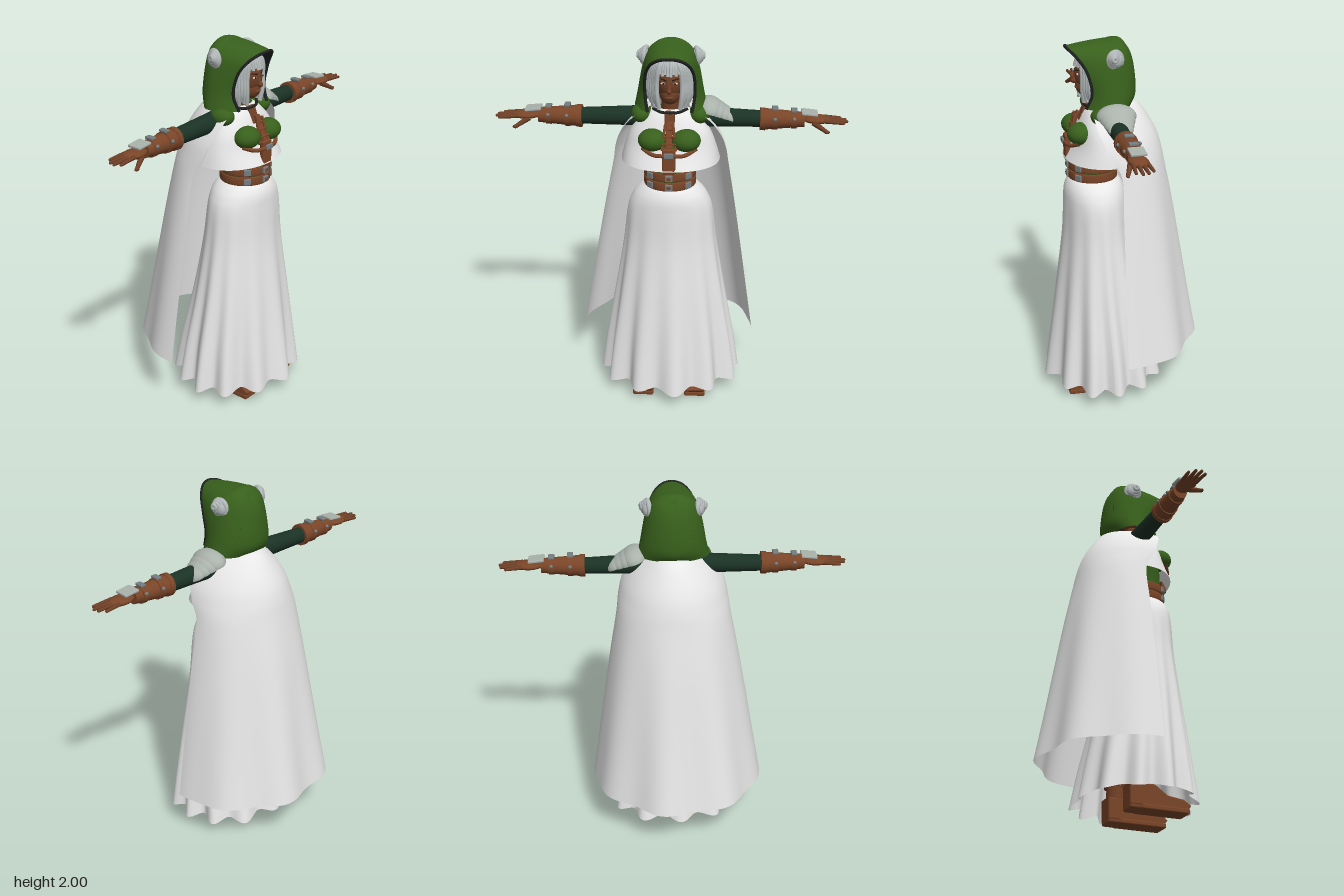
import * as THREE from 'three';
import { RoundedBoxGeometry } from 'three/addons/geometries/RoundedBoxGeometry.js';

const V = (x, y, z) => new THREE.Vector3(x, y, z);
const { sin, cos, PI } = Math;

export function createModel() {
  const model = new THREE.Group();
  const paint = (name, color) => {
    const m = new THREE.MeshStandardMaterial({ color, side: THREE.DoubleSide });
    m.name = name;
    return m;
  };
  const white = paint('white cloth', 0xf0f0f0), green = paint('green cloth', 0x38601c);
  const sleeveGreen = paint('dark green sleeve', 0x1b3226), leather = paint('brown leather', 0x7a4528);
  const skin = paint('brown skin', 0x6e3f26), hair = paint('silver hair', 0xb4babb);
  const metal = paint('pale metal', 0xaab2ac), steel = paint('buckle steel', 0x757d80);
  const dark = paint('dark trim', 0x1e2120), eyeColor = paint('pale eye', 0xd8d4c8);

  const add = (name, geo, mat, pos = [0, 0, 0], scale = [1, 1, 1], rot = [0, 0, 0]) => {
    const m = new THREE.Mesh(geo, mat);
    m.name = name;
    m.position.set(...pos);
    m.scale.set(...scale);
    m.rotation.set(...rot);
    model.add(m);
    return m;
  };
  const ball = (name, mat, pos, scale) => add(name, new THREE.SphereGeometry(1, 28, 18), mat, pos, scale);
  const box = (name, mat, pos, size, rot) => add(name,
    new RoundedBoxGeometry(...size, 2, Math.min(...size) * 0.3), mat, pos, [1, 1, 1], rot);
  const rod = (name, mat, a, b, ra, rb = ra, n = 20) => {
    const p = V(...a), d = V(...b).sub(p);
    const m = add(name, new THREE.CylinderGeometry(rb, ra, d.length(), n), mat);
    m.position.copy(p).addScaledVector(d, 0.5);
    m.quaternion.setFromUnitVectors(V(0, 1, 0), d.normalize());
    return m;
  };
  const tube = (name, mat, pts, r, n = 30) =>
    add(name, new THREE.TubeGeometry(new THREE.CatmullRomCurve3(pts.map(p => V(...p))), n, r, 8), mat);

  // Smoothly interpolate the columns of a small section table, t from 0 to 1
  const sample = (rows, t) => {
    const f = t * (rows.length - 1), i = Math.min(Math.floor(f), rows.length - 2), k = f - i;
    const row = j => rows[Math.max(0, Math.min(rows.length - 1, j))];
    return rows[i].map((b, c) => {
      const a = row(i - 1)[c], d = row(i + 1)[c], e = row(i + 2)[c];
      return b + 0.5 * k * (d - a + k * (2 * a - 5 * b + 4 * d - e + k * (3 * (b - d) + e - a)));
    });
  };
  // Skin a grid of points fn(u, v)
  const surface = (name, mat, nu, nv, fn) => {
    const pos = [], idx = [];
    for (let j = 0; j <= nv; j++) for (let i = 0; i <= nu; i++) {
      pos.push(...fn(i / nu, j / nv));
      if (i < nu && j < nv) {
        const a = j * (nu + 1) + i, b = a + nu + 1;
        idx.push(a, b, a + 1, b, b + 1, a + 1);
      }
    }
    const g = new THREE.BufferGeometry();
    g.setAttribute('position', new THREE.Float32BufferAttribute(pos, 3));
    g.setIndex(idx);
    g.computeVertexNormals();
    return add(name, g, mat);
  };
  // Closed body from rows of [y, half width, front z, back z]
  const body = (name, mat, rows, n = 24) => surface(name, mat, 48, n, (u, v) => {
    const [y, w, f, b] = sample(rows, v), a = -u * 2 * PI;
    return [w * cos(a), y, (f + b) / 2 + (f - b) / 2 * sin(a)];
  });

  // Pleated skirt
  const skirtRows = [[1.25, 0.13, 0.27, 0.03], [1.225, 0.165, 0.29, 0], [1.18, 0.2, 0.305, -0.02],
    [1.1, 0.227, 0.31, -0.03], [0.9, 0.25, 0.32, -0.05], [0.6, 0.295, 0.355, -0.1],
    [0.3, 0.34, 0.39, -0.165], [0.08, 0.365, 0.415, -0.205]];
  surface('skirt', white, 168, 40, (u, v) => {
    const [y, w, f, b] = sample(skirtRows, v), a = -u * 2 * PI, t = Math.min(1, (1.25 - y) / 1.17);
    const fold = cos(12 * (a - 1.48) + 0.6 * sin(2 * a));
    const k = 1 + 0.075 * t ** 1.3 * fold + 0.02 * t * sin(5 * a);
    return [w * k * cos(a), y - 0.012 * t * fold, (f + b) / 2 + (f - b) / 2 * k * sin(a)];
  });

  // Long cape, open at the front: [y, half width, front edge z, back z]
  const capeRows = [[1.668, 0.1, 0.13, -0.05], [1.645, 0.155, 0.17, -0.1], [1.58, 0.225, 0.165, -0.15],
    [1.5, 0.272, 0.135, -0.195], [1.42, 0.295, 0.1, -0.222], [1.32, 0.31, 0.05, -0.242],
    [1.1, 0.35, 0.05, -0.285], [0.83, 0.395, 0.05, -0.33], [0.55, 0.44, 0.05, -0.375], [0.28, 0.484, 0.05, -0.42]];
  surface('cape', white, 96, 40, (u, v) => {
    const [y, w, f, b] = sample(capeRows, v), a = u * PI, t = Math.max(0, (1.4 - y) / 1.12);
    const k = 1 + 0.045 * t * cos(8 * (a - 1.38)) * sin(a);
    return [w * k * cos(a) - 0.02 * t, y, f - (f - b) * k * sin(a)];
  });

  // Short front capelet over the chest
  const capeletRows = [[1.66, 0.08, 0.165, 0.1], [1.62, 0.14, 0.2, 0.1], [1.54, 0.205, 0.235, 0.1],
    [1.45, 0.24, 0.26, 0.09], [1.365, 0.262, 0.305, 0.07]];
  surface('capelet', white, 48, 16, (u, v) => {
    const [y, w, f, b] = sample(capeletRows, v), a = u * PI;
    return [w * cos(a), y, b + (f - b) * sin(a) ** 0.8];
  });

  // Torso, neck and bodice
  body('torso', green, [[1.22, 0.128, 0.272, 0.03], [1.3, 0.125, 0.265, 0.03], [1.38, 0.125, 0.262, 0.02],
    [1.5, 0.14, 0.25, -0.02], [1.6, 0.13, 0.19, -0.02], [1.66, 0.04, 0.13, 0.03]]);
  rod('neck', skin, [0, 1.57, 0.09], [0, 1.74, 0.11], 0.055, 0.042);
  box('chestSkin', skin, [0, 1.61, 0.195], [0.055, 0.1, 0.03], [-0.4, 0, 0]);
  for (const s of [-1, 1]) {
    ball('bodiceCup', green, [s * 0.087, 1.515, 0.228], [0.076, 0.058, 0.072]);
    tube('underbustBand', leather, [[s * 0.01, 1.455, 0.305], [s * 0.08, 1.452, 0.285], [s * 0.14, 1.475, 0.245]], 0.011);
    box('bodiceEdge', leather, [s * 0.028, 1.54, 0.258], [0.014, 0.14, 0.015], [-0.25, 0, s * 0.12]);
    ball('shoulderCloth', green, [s * 0.15, 1.622, 0.115], [0.056, 0.05, 0.07]);
  }
  box('bodiceFront', leather, [0, 1.42, 0.287], [0.07, 0.14, 0.03]);
  box('bodiceStrap', leather, [0, 1.55, 0.25], [0.034, 0.14, 0.02], [-0.4, 0, 0]);
  for (let i = 0; i < 3; i++) box('lace', leather, [0, 1.51 + i * 0.035, 0.277 - i * 0.015], [0.075 - i * 0.01, 0.01, 0.012]);
  box('bodiceBuckle', steel, [0, 1.458, 0.31], [0.05, 0.028, 0.012]);
  tube('collarTrim', dark, [[-0.09, 1.66, 0.15], [-0.04, 1.65, 0.185], [0.04, 1.65, 0.185], [0.09, 1.66, 0.15]], 0.008);

  // Double waist belt
  for (const y of [1.27, 1.322]) {
    body('belt', leather, [[y - 0.023, 0.13, 0.275, 0.02], [y - 0.02, 0.138, 0.284, 0.015],
      [y + 0.02, 0.138, 0.284, 0.015], [y + 0.023, 0.13, 0.275, 0.02]], 9);
    for (const [x, z] of [[0, 0.287], [-0.1, 0.245], [0.1, 0.245]])
      box('beltBuckle', steel, [x, y, z], [0.04, 0.034, 0.014], [0, x * 7, 0]);
    box('buckleCenter', leather, [0, y, 0.293], [0.02, 0.016, 0.008]);
  }

  // Hood: [signed width, edge ratio, edge y, edge z, back y, back z]
  const side = [[0.19, 0.6, 1.655, 0.2, 1.65, -0.05], [0.173, 0.74, 1.74, 0.17, 1.71, -0.083],
    [0.15, 0.83, 1.85, 0.195, 1.84, -0.075], [0.125, 0.8, 1.915, 0.235, 1.92, -0.055],
    [0.075, 0.75, 1.953, 0.272, 1.96, -0.03]];
  const hoodRows = [...side, [0, 0.74, 1.965, 0.288, 1.972, -0.02],
    ...side.map(([w, ...r]) => [-w, ...r]).reverse()];
  const hoodPoint = (u, v) => {
    const [w, e, ye, ze, yb, zb] = sample(hoodRows, v), a0 = Math.acos(e), a = -a0 + u * (PI / 2 + a0);
    const z = a < 0 ? 0.06 + (ze - 0.06) * sin(-a) / sin(a0) : 0.06 - (0.06 - zb) * sin(a);
    return [w * cos(a), ye + (yb - ye) * u + 0.032 * sin(PI * u) * sin(PI * v) ** 2, z];
  };
  surface('hood', green, 28, 60, hoodPoint);
  surface('hoodLining', dark, 20, 60, (u, v) => {
    const [x, y, z] = hoodPoint(u * 0.7, v);
    return [x * 0.94, 1.75 + (y - 1.75) * 0.96, z - 0.004];
  });
  tube('hoodTrim', dark, Array.from({ length: 25 }, (_, i) => hoodPoint(0, i / 24)), 0.008, 60);

  // Curled ornaments on the hood
  for (const s of [-1, 1]) {
    ball('curlCore', hair, [s * 0.135, 1.91, 0.05], [0.028, 0.042, 0.04]);
    for (let i = 0; i < 4; i++)
      add('curlRing', new THREE.TorusGeometry(0.037 - i * 0.009, 0.014 - i * 0.001, 8, 24), hair,
        [s * (0.132 + i * 0.011), 1.912 + i * 0.003, 0.05 + i * 0.003], [1, 1.1, 1], [0, PI / 2 + s * 0.25, s * 0.2]);
  }

  // Head and face
  ball('head', skin, [0, 1.815, 0.135], [0.078, 0.108, 0.107]);
  ball('jaw', skin, [0, 1.753, 0.168], [0.055, 0.06, 0.068]);
  ball('nose', skin, [0, 1.783, 0.243], [0.013, 0.016, 0.018]);
  rod('noseBridge', skin, [0, 1.782, 0.246], [0, 1.83, 0.23], 0.011, 0.008, 10);
  ball('lips', leather, [0, 1.746, 0.229], [0.022, 0.009, 0.01]);
  for (const s of [-1, 1]) {
    ball('eye', eyeColor, [s * 0.03, 1.822, 0.231], [0.014, 0.006, 0.006]);
    ball('iris', dark, [s * 0.03, 1.822, 0.236], [0.005, 0.005, 0.003]);
    rod('eyebrow', dark, [s * 0.014, 1.838, 0.237], [s * 0.048, 1.845, 0.219], 0.004, 0.003, 6);
  }

  // Hair cap, fringe and side locks
  ball('hairCap', hair, [0, 1.85, 0.105], [0.106, 0.095, 0.105]);
  for (const s of [-1, 1]) for (let i = 0; i < 6; i++) {
    const x = s * (0.062 + i * 0.009), z = 0.21 - i * 0.011;
    tube('sideLock', hair, [[s * 0.012, 1.937, 0.17 - i * 0.01], [s * (0.05 + i * 0.008), 1.905, z],
      [x * 1.05, 1.81, z], [x * 1.02, 1.74, z], [x * 0.88, 1.675 + (i % 3) * 0.012, z - 0.01]], 0.0125, 24);
    if (i < 5) tube('fringe', hair, [[s * 0.008, 1.938, 0.17], [s * (0.008 + i * 0.01), 1.912, 0.219 - i * 0.004],
      [s * (0.007 + i * 0.014), 1.858 + (i % 2) * 0.01, 0.238 - i * 0.006]], 0.009, 12);
  }

  // Arms, bracers and hands
  for (const s of [-1, 1]) {
    const p = (x, y, z) => [s * x, y, z];
    rod('sleeve', sleeveGreen, p(0.12, 1.59, 0.07), p(0.49, 1.583, 0.07), 0.055, 0.043);
    rod('bracer', leather, p(0.475, 1.583, 0.072), p(0.7, 1.585, 0.075), 0.058, 0.039);
    for (const [x, r] of [[0.482, 0.06], [0.545, 0.056], [0.645, 0.047]]) {
      rod('bracerStrap', leather, p(x - 0.014, 1.583, 0.073), p(x + 0.014, 1.583, 0.073), r, r);
      if (x > 0.5) {
        box('bracerBuckle', steel, p(x, 1.588 + r, 0.073), [0.032, 0.014, 0.05]);
        for (const z of [-1, 1]) ball('bracerStud', steel, p(x, 1.6, 0.073 + z * r), [0.01, 0.01, 0.008]);
      }
    }
    box('handGuard', metal, p(0.725, 1.624, 0.075), [0.085, 0.014, 0.08], [0, 0, s * -0.1]);
    ball('palm', leather, p(0.765, 1.589, 0.078), [0.075, 0.022, 0.05]);
    for (let i = 0; i < 4; i++) {
      const z = 0.034 + i * 0.029, tip = [0.885, 0.912, 0.918, 0.9][i];
      rod('finger', skin, p(0.8, 1.59, z * 0.8 + 0.016), p(tip, 1.583, z), 0.012, 0.008, 10);
      ball('fingertip', skin, p(tip, 1.583, z), [0.009, 0.008, 0.008]);
    }
    rod('thumb', skin, p(0.745, 1.58, 0.11), p(0.815, 1.54, 0.14), 0.016, 0.01, 10);
    ball('thumbTip', skin, p(0.815, 1.54, 0.14), [0.015, 0.01, 0.01]);
  }

  // Layered shoulder guard on the left shoulder
  for (let i = 0; i < 4; i++)
    add('shoulderPlate', new THREE.SphereGeometry(1, 24, 10, 0, 2 * PI, 0, PI / 2), metal,
      [0.205 + i * 0.03, 1.632 - i * 0.012, 0.06], [0.075 - i * 0.003, 0.062 - i * 0.007, 0.105 - i * 0.012], [0, 0, -0.3 - i * 0.06]);

  // Boots
  const foot = new THREE.Shape([[0, 0.025], [0.31, 0.025], [0.325, 0.045], [0.29, 0.068], [0.2, 0.08], [0.13, 0.13], [0, 0.13]]
    .map(q => new THREE.Vector2(...q)));
  for (const s of [-1, 1]) {
    const x = s * 0.145;
    add('bootFoot', new THREE.ExtrudeGeometry(foot, { depth: 0.085, bevelSize: 0.008, bevelThickness: 0.012, bevelSegments: 3 }),
      leather, [x - 0.042, 0, 0.005], [1, 1, 1], [0, -PI / 2, 0]).position.x = x + 0.042;
    box('bootSole', leather, [x, 0.015, 0.195], [0.115, 0.03, 0.27]);
    box('bootHeel', leather, [x, 0.02, 0.04], [0.105, 0.04, 0.085]);
    rod('bootShaft', leather, [x, 0.09, 0.06], [x * 0.9, 0.4, 0.07], 0.052, 0.064);
    rod('bootCuff', leather, [x, 0.2, 0.062], [x, 0.235, 0.063], 0.066);
    rod('leg', sleeveGreen, [x * 0.9, 0.38, 0.07], [s * 0.09, 1.1, 0.12], 0.06, 0.085);
  }
  return model;
}
